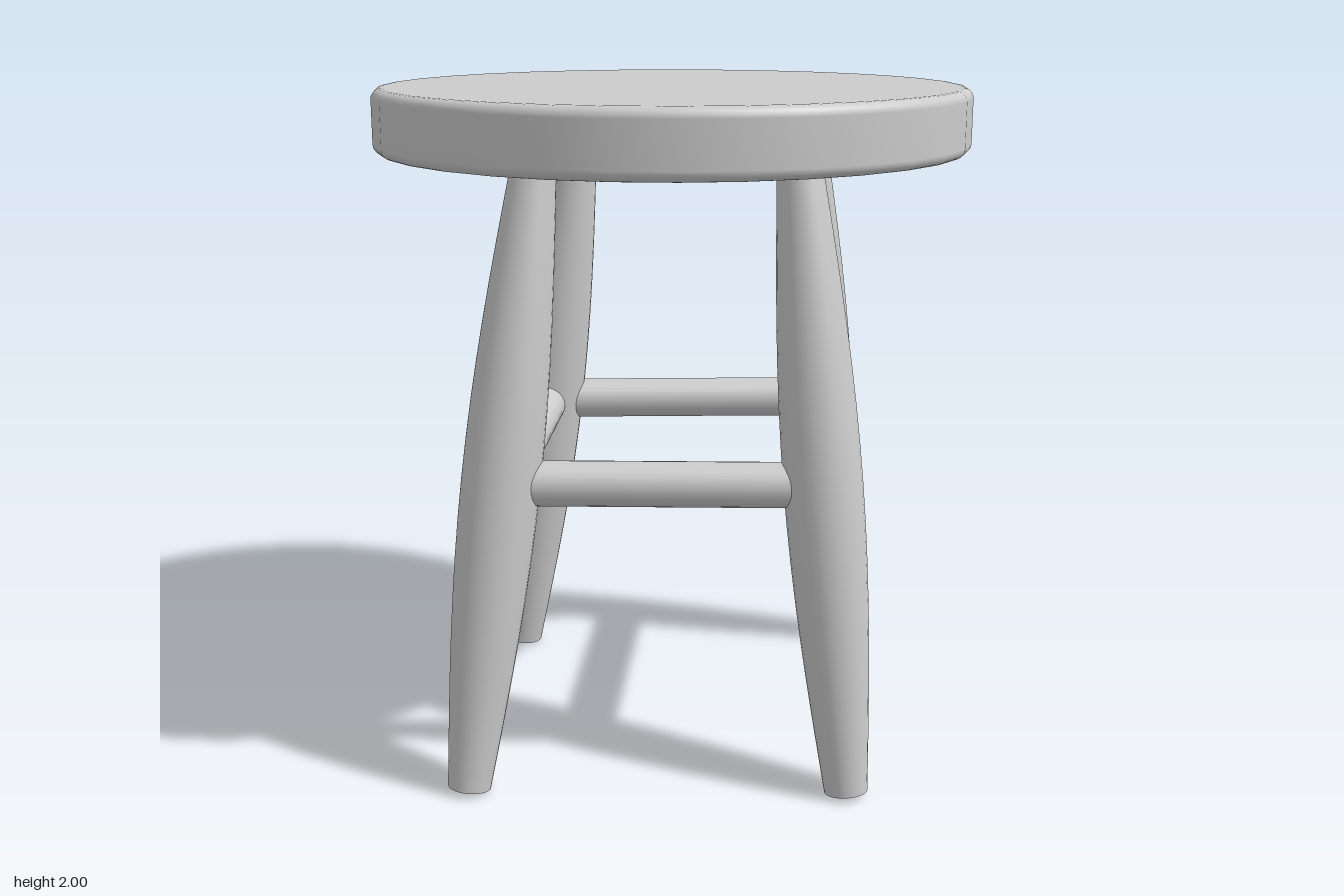
import * as THREE from 'three';

const UP = new THREE.Vector3(0, 1, 0);

// Aligns a mesh whose length runs along y with the segment a -> b
function placeBetween(mesh, a, b) {
  mesh.position.addVectors(a, b).multiplyScalar(0.5);
  mesh.quaternion.setFromUnitVectors(UP, b.clone().sub(a).normalize());
  return mesh;
}

// Turned leg: a cylinder swollen in the middle
function legGeometry(length, endRadius, bulge) {
  const geo = new THREE.CylinderGeometry(1, 1, length, 32, 16);
  const pos = geo.attributes.position;
  const nor = geo.attributes.normal;
  for (let i = 0; i < pos.count; i++) {
    const t = pos.getY(i) / length + 0.5;
    const r = endRadius + bulge * Math.sin(Math.PI * t);
    pos.setX(i, pos.getX(i) * r);
    pos.setZ(i, pos.getZ(i) * r);
    if (Math.abs(nor.getY(i)) < 0.5) {
      const slope = bulge * Math.PI / length * Math.cos(Math.PI * t);
      const n = new THREE.Vector3(nor.getX(i), -slope, nor.getZ(i)).normalize();
      nor.setXYZ(i, n.x, n.y, n.z);
    }
  }
  return geo;
}

// Round seat with softened rims
function seatGeometry(radius, bottom, top, rim) {
  const points = [new THREE.Vector2(0, bottom), new THREE.Vector2(radius - rim - 0.01, bottom)];
  for (const [cy, start] of [[bottom + rim, -Math.PI / 2], [top - rim, 0]]) {
    for (let i = 0; i <= 5; i++) {
      const a = start + (i / 5) * Math.PI / 2;
      points.push(new THREE.Vector2(radius - rim + rim * Math.cos(a), cy + rim * Math.sin(a)));
    }
  }
  points.push(new THREE.Vector2(radius - rim - 0.01, top), new THREE.Vector2(0, top));
  return new THREE.LatheGeometry(points, 32);
}

export function createModel() {
  const model = new THREE.Group();
  model.name = 'stool';
  const material = new THREE.MeshStandardMaterial({ color: 0xcccccc });
  const add = (name, geo) => {
    const mesh = new THREE.Mesh(geo, material);
    mesh.name = name;
    model.add(mesh);
    return mesh;
  };

  add('seat', seatGeometry(0.89, 1.81, 2, 0.03));

  // Splayed legs, in order around the seat: foot x, z and top x, z
  const legs = [
    ['rightLeg', -0.79, 0.325, -0.51, 0.21],
    ['frontLeg', 0.21, 0.79, 0.16, 0.52],
    ['leftLeg', 0.765, -0.3, 0.57, -0.207],
    ['backLeg', -0.283, -0.69, -0.11, -0.52],
  ].map(([name, fx, fz, tx, tz]) => {
    const foot = new THREE.Vector3(fx, 0.012, fz);
    const top = new THREE.Vector3(tx, 1.815, tz);
    const geo = legGeometry(foot.distanceTo(top), 0.063, 0.051);
    placeBetween(add(name, geo), foot, top);
    return { foot, top };
  });

  // Stretchers joining each leg to the next
  const joints = legs.map(({ foot, top }) => foot.clone().lerp(top, 0.5));
  joints.forEach((a) => { a.y = 0.91; });
  joints.forEach((a, i) => {
    const b = joints[(i + 1) % joints.length];
    const geo = new THREE.CylinderGeometry(0.066, 0.066, a.distanceTo(b), 24);
    placeBetween(add('stretcher' + (i + 1), geo), a, b);
  });

  return model;
}
